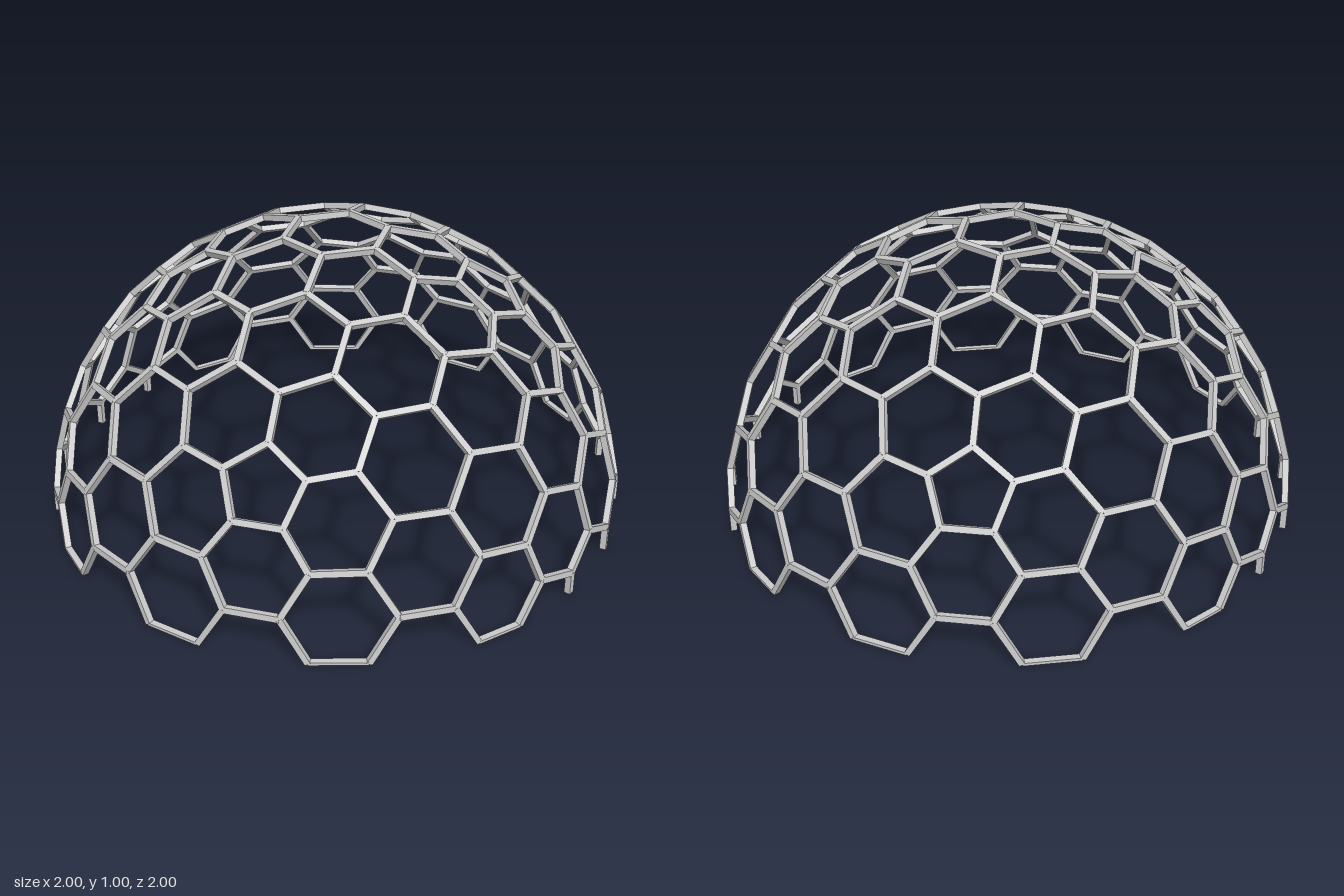
import * as THREE from 'three';
import { mergeGeometries } from 'three/addons/utils/BufferGeometryUtils.js';

const RADIUS = 1.005; // bar ends lie on this sphere
const WIDTH = 0.021;  // bar section, across the shell
const DEPTH = 0.022;  // bar section, through the shell

// Struts of the hexagon/pentagon lattice: each joins the centres of two
// neighbouring triangles of a four-part geodesic sphere.
function latticeStruts() {
  const pos = new THREE.IcosahedronGeometry(1, 3).attributes.position;
  const key = v => v.toArray().map(c => Math.round(c * 1e4)).join();
  const shared = new Map();
  for (let i = 0; i < pos.count; i += 3) {
    const tri = [0, 1, 2].map(k => new THREE.Vector3().fromBufferAttribute(pos, i + k));
    const centre = tri[0].clone().add(tri[1]).add(tri[2]).setLength(RADIUS);
    for (let k = 0; k < 3; k++) {
      const id = [key(tri[k]), key(tri[(k + 1) % 3])].sort().join('|');
      if (!shared.has(id)) shared.set(id, []);
      shared.get(id).push(centre);
    }
  }
  return [...shared.values()];
}

// Square bar from a to b, one pair of faces turned towards the dome's centre
function bar(a, b, outward) {
  const along = b.clone().sub(a);
  const geo = new THREE.BoxGeometry(WIDTH, along.length(), DEPTH);
  along.normalize();
  const across = along.clone().cross(outward);
  const mid = a.clone().add(b).multiplyScalar(0.5);
  geo.applyMatrix4(new THREE.Matrix4().makeBasis(across, along, outward).setPosition(mid));
  // cut flat at the ground
  const p = geo.attributes.position;
  for (let i = 0; i < p.count; i++) p.setY(i, Math.max(0, p.getY(i)));
  return geo;
}

export function createModel() {
  const group = new THREE.Group();
  group.name = 'latticeDome';
  const bars = [];

  for (const [p, q] of latticeStruts()) {
    const [low, high] = p.y < q.y ? [p, q] : [q, p];
    if (low.y < -1e-3 && high.y < 1e-3) continue;
    const outward = low.clone().add(high).normalize();
    // struts crossing the ground stop at y = 0
    const foot = low.y < -1e-3 ? low.clone().lerp(high, -low.y / (high.y - low.y)) : low;
    bars.push(bar(foot, high, outward));
  }

  const struts = new THREE.Mesh(
    mergeGeometries(bars),
    new THREE.MeshStandardMaterial({ color: 0xcccccc, flatShading: true }));
  struts.name = 'struts';
  group.add(struts);
  return group;
}
